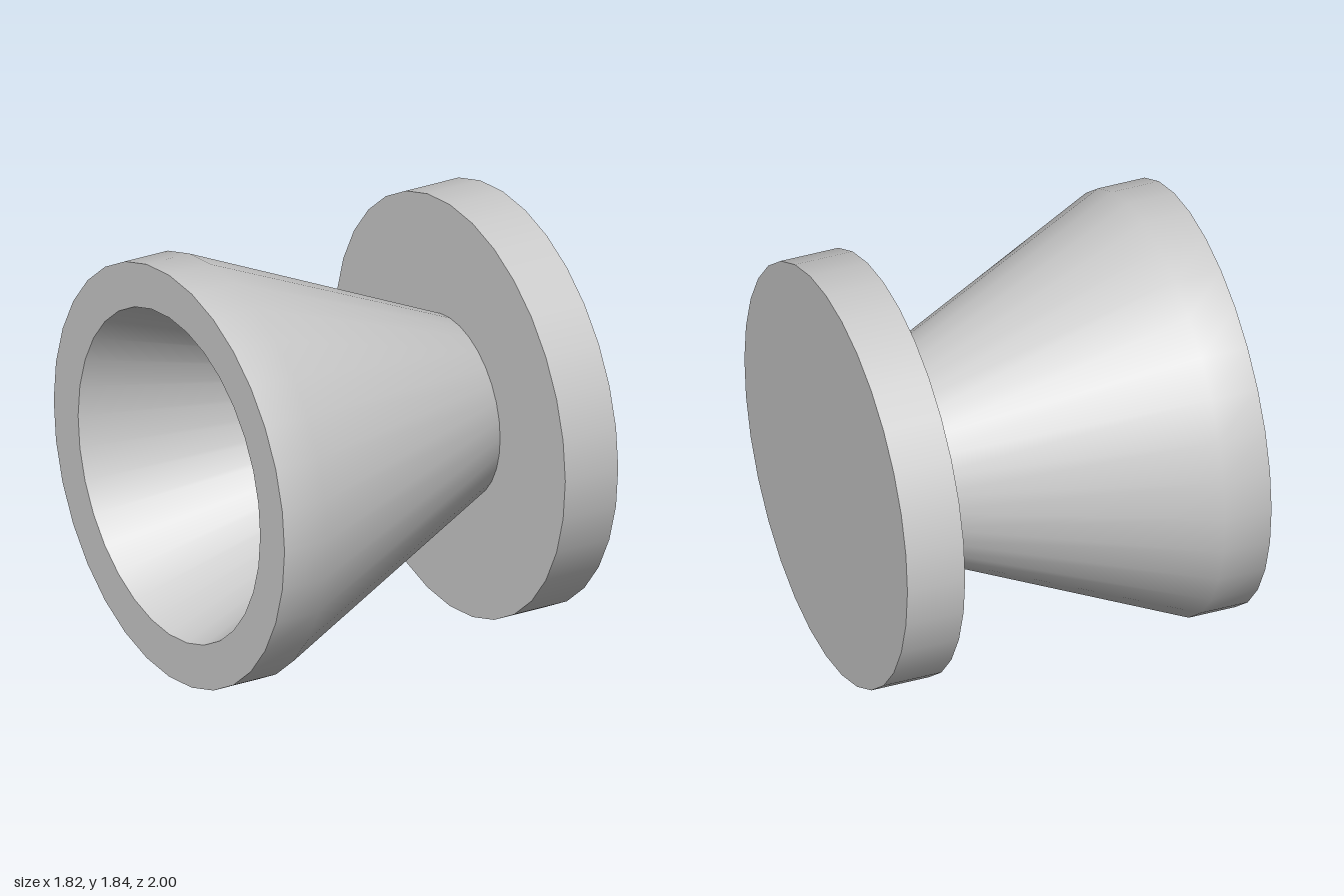
import * as THREE from 'three';
import { toCreasedNormals } from 'three/addons/utils/BufferGeometryUtils.js';

const SIDES = 32;
const RADIUS = 0.919;
const HALF_LENGTH = 0.82;
const DISC_START = 0.56; // position along the axis where the horn meets the disc

export function createModel() {
  const material = new THREE.MeshStandardMaterial({ color: 0xcccccc });
  const model = new THREE.Group();
  model.name = 'flaredHorn';

  // Parts are turned around y, then laid along x
  const body = new THREE.Group();
  body.name = 'body';
  body.rotation.z = -Math.PI / 2;

  // Hollow horn: tapered bore, flat lip, straight rim, tapered outer wall
  const profile = [
    [0.21, DISC_START],
    [0.725, -HALF_LENGTH],
    [RADIUS, -HALF_LENGTH],
    [RADIUS, -0.61],
    [0.4, DISC_START],
  ].map(([r, y]) => new THREE.Vector2(r, y));
  const horn = new THREE.Mesh(
    toCreasedNormals(new THREE.LatheGeometry(profile, SIDES), 0.6),
    material
  );
  horn.name = 'horn';

  // Solid disc closing the narrow end
  const thickness = HALF_LENGTH - DISC_START;
  const disc = new THREE.Mesh(
    new THREE.CylinderGeometry(RADIUS, RADIUS, thickness, SIDES),
    material
  );
  disc.name = 'disc';
  disc.position.y = DISC_START + thickness / 2;

  body.add(horn, disc);

  // Swing the axis slightly towards the front and rest it on the ground
  const swing = new THREE.Group();
  swing.name = 'swungBody';
  swing.rotation.y = THREE.MathUtils.degToRad(-5.95);
  swing.position.y = RADIUS;
  swing.add(body);
  model.add(swing);
  return model;
}
